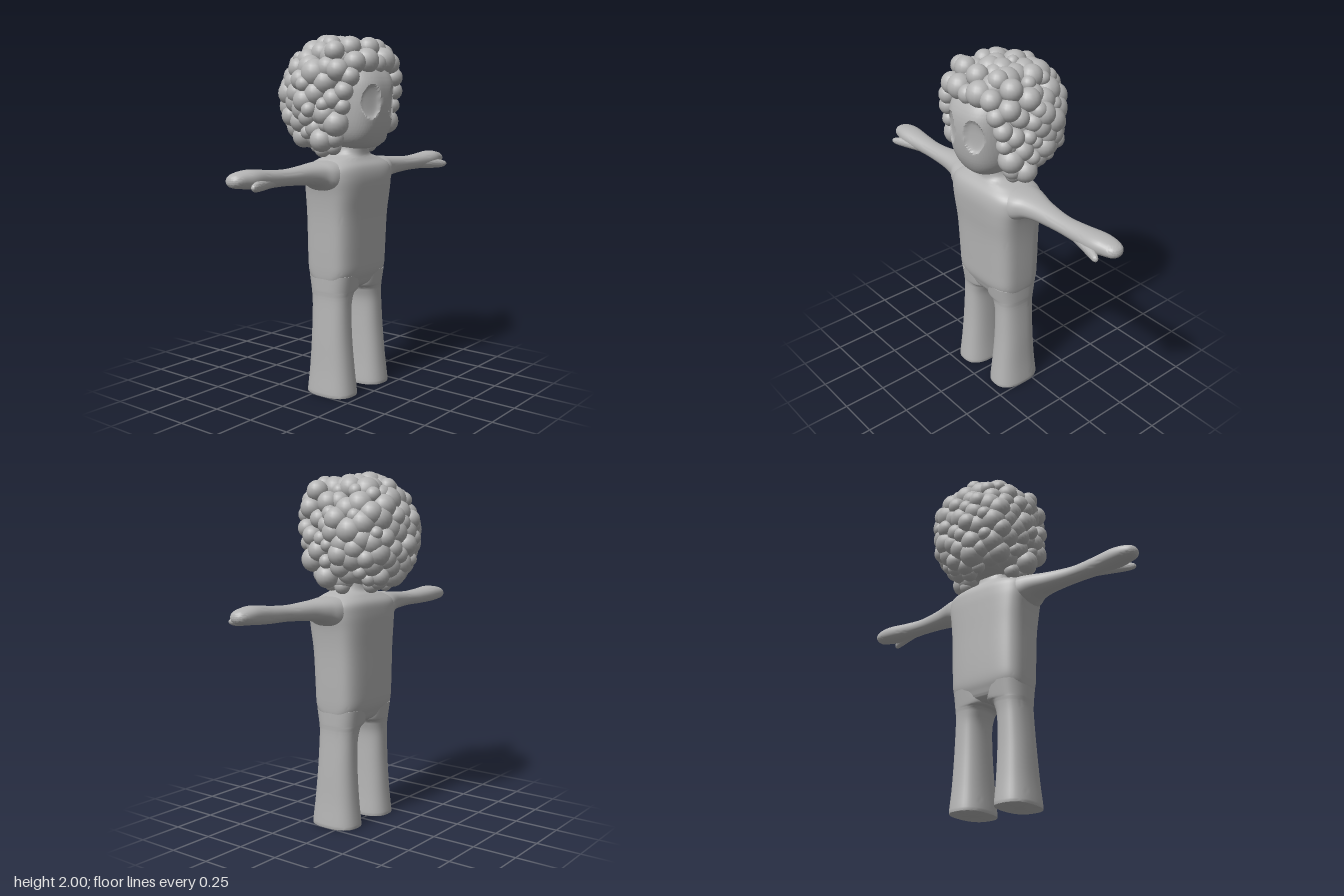
import * as THREE from 'three';
import { toCreasedNormals } from 'three/addons/utils/BufferGeometryUtils.js';

// Uniform Catmull-Rom through table rows
function smoothRows(rows, steps) {
  const out = [];
  const last = rows.length - 1;
  for (let i = 0; i < last; i++) {
    const p = [rows[Math.max(i - 1, 0)], rows[i], rows[i + 1], rows[Math.min(i + 2, last)]];
    for (let k = 0; k < steps; k++) {
      const u = k / steps;
      out.push(rows[i].map((_, c) => {
        const [a, b, d, e] = p.map((r) => r[c]);
        return b + 0.5 * u * (d - a + u * (2 * a - 5 * b + 4 * d - e + u * (3 * (b - d) + e - a)));
      }));
    }
  }
  out.push(rows[last]);
  return out;
}

// Closed loft of superellipses along y; row = [y, centreX, centreZ, halfX, halfZ, power]
function loft(rows, sides = 40, steps = 5) {
  const rings = smoothRows(rows, steps);
  const pos = [];
  const idx = [];
  const bend = (v, n) => Math.sign(v) * Math.abs(v) ** (2 / n);
  rings.forEach(([y, cx, cz, hx, hz, n], i) => {
    for (let j = 0; j < sides; j++) {
      const a = (j / sides) * Math.PI * 2;
      pos.push(cx + hx * bend(Math.cos(a), n), y, cz + hz * bend(Math.sin(a), n));
      if (i === rings.length - 1) continue;
      const p = i * sides + j;
      const q = i * sides + (j + 1) % sides;
      idx.push(p, p + sides, q, q, p + sides, q + sides);
    }
  });
  const end = (rings.length - 1) * sides;
  const cap = rings.length * sides;
  for (const r of [rings[0], rings[rings.length - 1]]) pos.push(r[1], r[0], r[2]);
  for (let j = 0; j < sides; j++) {
    const k = (j + 1) % sides;
    idx.push(cap, j, k, cap + 1, end + k, end + j);
  }
  const geo = new THREE.BufferGeometry();
  geo.setAttribute('position', new THREE.Float32BufferAttribute(pos, 3));
  geo.setIndex(idx);
  return geo;
}

export function createModel() {
  const model = new THREE.Group();
  const clay = new THREE.MeshStandardMaterial({ color: 0xb4b4b4 });
  clay.name = 'grey clay';
  const add = (name, geo, parent = model) => {
    const mesh = new THREE.Mesh(geo, clay);
    mesh.name = name;
    parent.add(mesh);
    return mesh;
  };
  const crease = (geo) => toCreasedNormals(geo, 0.9);

  // Torso flowing into the neck
  add('torso', crease(loft([
    [0.595, 0, 0.055, 0.15, 0.085, 2.8],
    [0.615, 0, 0.055, 0.205, 0.115, 3],
    [0.65, 0, 0.055, 0.222, 0.13, 3.4],
    [0.7, 0, 0.055, 0.228, 0.144, 4],
    [0.8, 0, 0.055, 0.232, 0.149, 4],
    [1.0, 0, 0.058, 0.238, 0.154, 4],
    [1.13, 0, 0.063, 0.25, 0.161, 4],
    [1.22, 0, 0.065, 0.268, 0.163, 3.5],
    [1.28, 0, 0.063, 0.262, 0.152, 3.2],
    [1.32, 0, 0.065, 0.2, 0.118, 2.8],
    [1.35, 0, 0.075, 0.115, 0.095, 2.4],
    [1.42, 0, 0.085, 0.1, 0.09, 2.2],
  ], 56)));

  for (const s of [1, -1]) {
    const side = s > 0 ? 'left' : 'right';

    // Flared leg with a flat sole, arching inward at the crotch
    add(side + 'Leg', crease(loft([
      [0, s * 0.15, 0.065, 0.104, 0.145, 2.5],
      [0.02, s * 0.15, 0.065, 0.105, 0.145, 2.5],
      [0.15, s * 0.149, 0.064, 0.095, 0.131, 2.5],
      [0.32, s * 0.148, 0.061, 0.087, 0.118, 2.5],
      [0.48, s * 0.144, 0.058, 0.081, 0.113, 2.6],
      [0.55, s * 0.136, 0.056, 0.086, 0.115, 2.7],
      [0.58, s * 0.129, 0.055, 0.094, 0.119, 2.8],
      [0.6, s * 0.113, 0.055, 0.111, 0.124, 2.9],
      [0.68, s * 0.113, 0.055, 0.112, 0.137, 3],
    ])));

    // Arm and mitten hand; row = [x, y, z, halfY, halfZ, power]
    const sideways = (rows) => crease(loft(rows.map(([x, y, ...r]) => [x, -s * y, ...r]), 32)
      .rotateZ(-s * Math.PI / 2));
    const arm = new THREE.Group();
    arm.name = side + 'Arm';
    model.add(arm);
    add(side + 'Sleeve', sideways([
      [0.16, 1.22, 0.065, 0.1, 0.13, 2.6],
      [0.25, 1.236, 0.065, 0.08, 0.118, 2.5],
      [0.31, 1.248, 0.062, 0.064, 0.092, 2.4],
      [0.4, 1.252, 0.068, 0.053, 0.068, 2.3],
      [0.55, 1.253, 0.076, 0.043, 0.054, 2.2],
      [0.68, 1.257, 0.076, 0.046, 0.059, 2.2],
      [0.8, 1.265, 0.077, 0.049, 0.068, 2.3],
      [0.87, 1.266, 0.071, 0.042, 0.06, 2.3],
      [0.915, 1.264, 0.07, 0.033, 0.047, 2.2],
      [0.935, 1.263, 0.07, 0.02, 0.026, 2.1],
      [0.941, 1.263, 0.07, 0.004, 0.006, 2],
    ]), arm);
    add(side + 'Thumb', sideways([
      [0.6, 1.248, 0.085, 0.028, 0.03, 2],
      [0.72, 1.242, 0.107, 0.031, 0.032, 2],
      [0.8, 1.237, 0.132, 0.028, 0.026, 2],
      [0.85, 1.234, 0.151, 0.022, 0.02, 2],
      [0.873, 1.234, 0.16, 0.013, 0.012, 2],
      [0.88, 1.234, 0.162, 0.003, 0.003, 2],
    ]), arm);
  }

  // Head with two hollow oval eye sockets pressed into the face
  const head = loft([
    [1.375, 0, 0.1, 0.05, 0.07, 2.3],
    [1.39, 0, 0.1, 0.105, 0.13, 2.5],
    [1.44, 0, 0.085, 0.15, 0.185, 2.8],
    [1.52, 0, 0.07, 0.175, 0.228, 2.9],
    [1.65, 0, 0.06, 0.187, 0.252, 2.9],
    [1.76, 0, 0.05, 0.187, 0.245, 2.8],
    [1.86, 0, 0.03, 0.16, 0.19, 2.5],
    [1.92, 0, 0.02, 0.08, 0.09, 2.2],
  ], 150, 13);
  const hp = head.attributes.position;
  for (let i = 0; i < hp.count; i++) {
    if (hp.getZ(i) < 0.1) continue;
    const r = Math.hypot((Math.abs(hp.getX(i)) - 0.092) / 0.054, (hp.getY(i) - 1.635) / 0.09);
    if (r < 1) hp.setZ(i, hp.getZ(i) - 0.026 * Math.sqrt(1 - r * r));
  }
  add('head', toCreasedNormals(head, 0.5));

  // Hair: a core covered with round curls, open at the face and throat
  const hair = new THREE.Group();
  hair.name = 'hair';
  model.add(hair);
  const core = add('hairCore', new THREE.SphereGeometry(1, 32, 20), hair);
  core.scale.set(0.26, 0.285, 0.24);
  core.position.set(0, 1.66, -0.02);

  const ball = new THREE.SphereGeometry(1, 18, 12);
  const addCurl = (x, y, z, r) => {
    const curl = add('curl', ball, hair);
    curl.scale.setScalar(r);
    curl.position.set(x, y, z);
  };
  let seed = 7;
  const random = () => (seed = (seed * 16807) % 2147483647) / 2147483647;
  const jitter = () => (random() - 0.5) * 0.03;
  const total = 180;
  for (let i = 0; i < total; i++) {
    const v = 1 - (2 * (i + 0.5)) / total;
    const w = Math.sqrt(1 - v * v);
    const dir = [w * Math.cos(i * 2.399963), v, w * Math.sin(i * 2.399963)];
    const box = dir.reduce((sum, c) => sum + Math.abs(c) ** 2.3, 0) ** (-1 / 2.3);
    const radius = 0.036 + 0.042 * random();
    const x = (0.327 - radius) * box * dir[0] + jitter();
    const y = 1.662 + (0.335 - radius) * box * v + jitter();
    const z = (0.306 - radius) * box * dir[2] - 0.004 - 0.02 * Math.max(-v, 0) + jitter();
    const face = z > 0.02 && y < 1.84 && Math.abs(x) < 0.15 + radius;
    const throat = y < 1.46 && z > -0.1 && Math.abs(x) < 0.13;
    const chin = y < 1.7 && z > 0.2;
    if (face || throat || chin) continue;
    addCurl(x, y, z, radius);
  }

  // Fringe over the brow, uneven in size
  for (const [x, y, z, r] of [
    [-0.16, 1.84, 0.225, 0.06], [-0.075, 1.85, 0.24, 0.068], [0.005, 1.835, 0.25, 0.052],
    [0.08, 1.855, 0.235, 0.07], [0.16, 1.84, 0.225, 0.058], [-0.12, 1.92, 0.165, 0.06],
    [0.13, 1.92, 0.155, 0.055], [0.01, 1.92, 0.19, 0.06], [-0.21, 1.9, 0.13, 0.055],
    [0.215, 1.89, 0.14, 0.06],
  ]) addCurl(x, y, z, r);

  // Locks framing the cheeks and nape
  for (const s of [1, -1]) {
    for (const [x, y, z, r] of [
      [0.2, 1.765, 0.225, 0.052], [0.235, 1.8, 0.17, 0.06], [0.228, 1.69, 0.205, 0.052],
      [0.228, 1.61, 0.195, 0.045], [0.25, 1.65, 0.15, 0.055], [0.232, 1.52, 0.155, 0.07],
      [0.255, 1.57, 0.1, 0.06], [0.2, 1.44, 0.12, 0.052], [0.235, 1.43, 0.06, 0.065],
      [0.165, 1.39, 0.085, 0.045], [0.165, 1.375, 0.01, 0.045],
    ]) addCurl(s * x, y, z, r);
  }
  return model;
}
